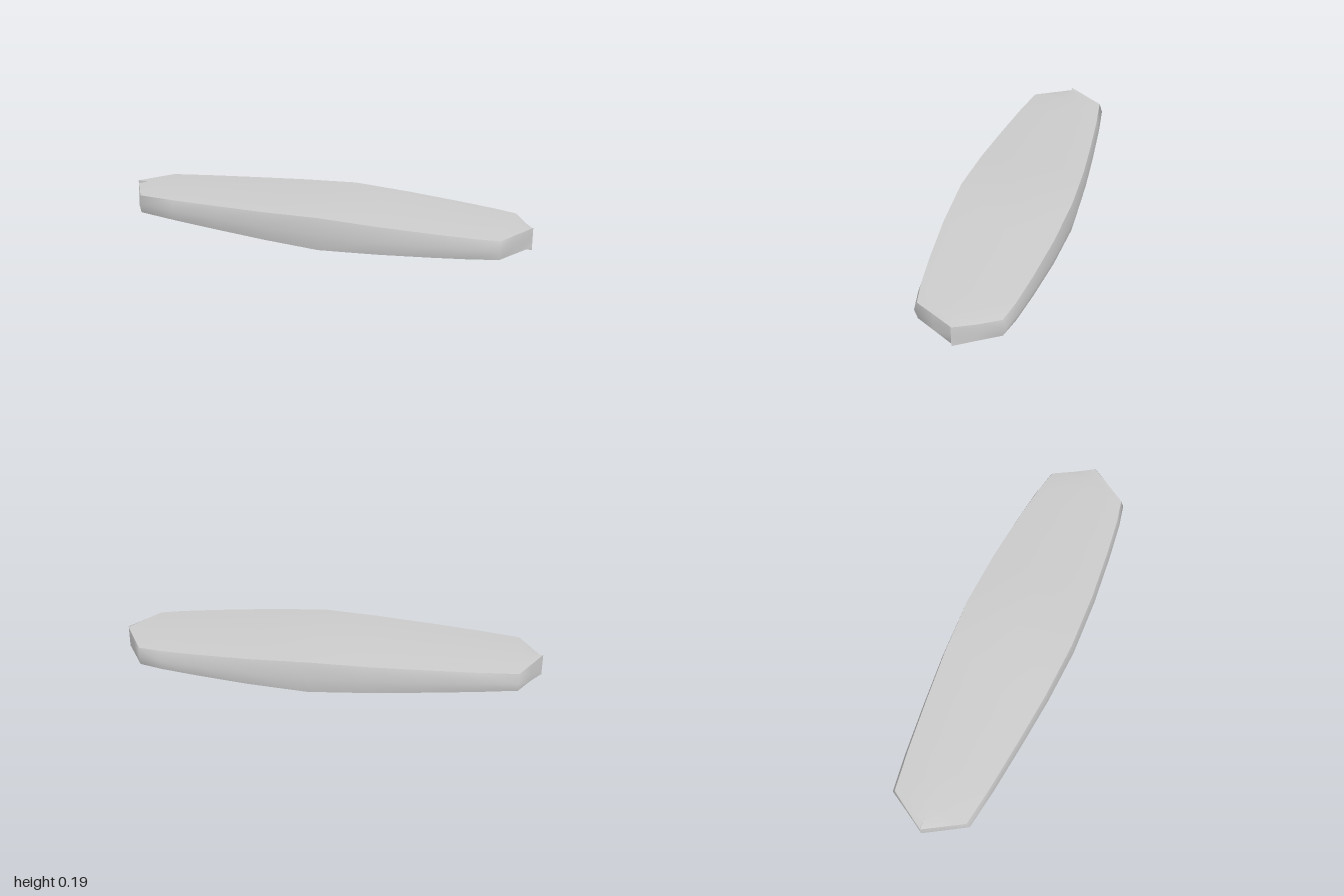
import * as THREE from 'three';
import { toCreasedNormals } from 'three/addons/utils/BufferGeometryUtils.js';

// Stations along the length: [x, half width]
const STATIONS = [
  [-1, 0], [-0.945, 0.098], [-0.89, 0.195], [-0.7, 0.223], [-0.45, 0.251], [-0.2, 0.275],
  [0.07, 0.288], [0.35, 0.276], [0.6, 0.251], [0.78, 0.227], [0.89, 0.203], [0.945, 0.101], [1, 0],
];
const MID_Y = 0.097;
const PEAK_X = 0.07;

// Half of a cross-section, from the top ridge round the side to the bottom ridge
function halfSection([x, width], side) {
  const end = Math.max(0, (Math.abs(x) - 0.89) / 0.11); // 0 at the corner, 1 at the tip
  const corner = Math.sign(x) * 0.89;
  const t = end > 0 ? 1 : Math.abs((x - PEAK_X) / (corner - PEAK_X));
  const ridge = end === 1 ? 0.0465 : THREE.MathUtils.lerp(0.094, 0.057, t) - 0.008 * end;
  const edge = THREE.MathUtils.lerp(0.078, 0.044, t) + 0.0025 * end;
  // The two halves are slightly offset where they meet at each tip
  const y = MID_Y + side * Math.sign(x) * 0.007 * end;
  const ridgeY = end === 1 ? y : MID_Y;
  const inset = 0.015 * (1 - end);
  return [
    [x, ridgeY + ridge, 0],
    [x, y + edge, side * (width - inset)],
    [x, y, side * width],
    [x, y - edge, side * (width - inset)],
    [x, ridgeY - ridge, 0],
  ];
}

function hullGeometry() {
  const positions = [];
  const triangle = (a, b, c, side) => positions.push(...a, ...(side > 0 ? [...b, ...c] : [...c, ...b]));
  for (const side of [1, -1]) {
    const rings = STATIONS.map((s) => halfSection(s, side));
    for (let i = 0; i < rings.length - 1; i++) {
      for (let j = 0; j < 4; j++) {
        const a = rings[i][j], b = rings[i + 1][j];
        const c = rings[i + 1][j + 1], d = rings[i][j + 1];
        triangle(a, d, b, side);
        triangle(b, d, c, side);
      }
    }
  }
  const geometry = new THREE.BufferGeometry();
  geometry.setAttribute('position', new THREE.Float32BufferAttribute(positions, 3));
  // Smooth sides and corners, sharp rim and tips
  return toCreasedNormals(geometry, 1.05);
}

export function createModel() {
  const group = new THREE.Group();
  group.name = 'taperedBoard';
  const material = new THREE.MeshStandardMaterial({ color: 0xcccccc, side: THREE.DoubleSide });
  const body = new THREE.Mesh(hullGeometry(), material);
  body.name = 'body';
  group.add(body);
  return group;
}
